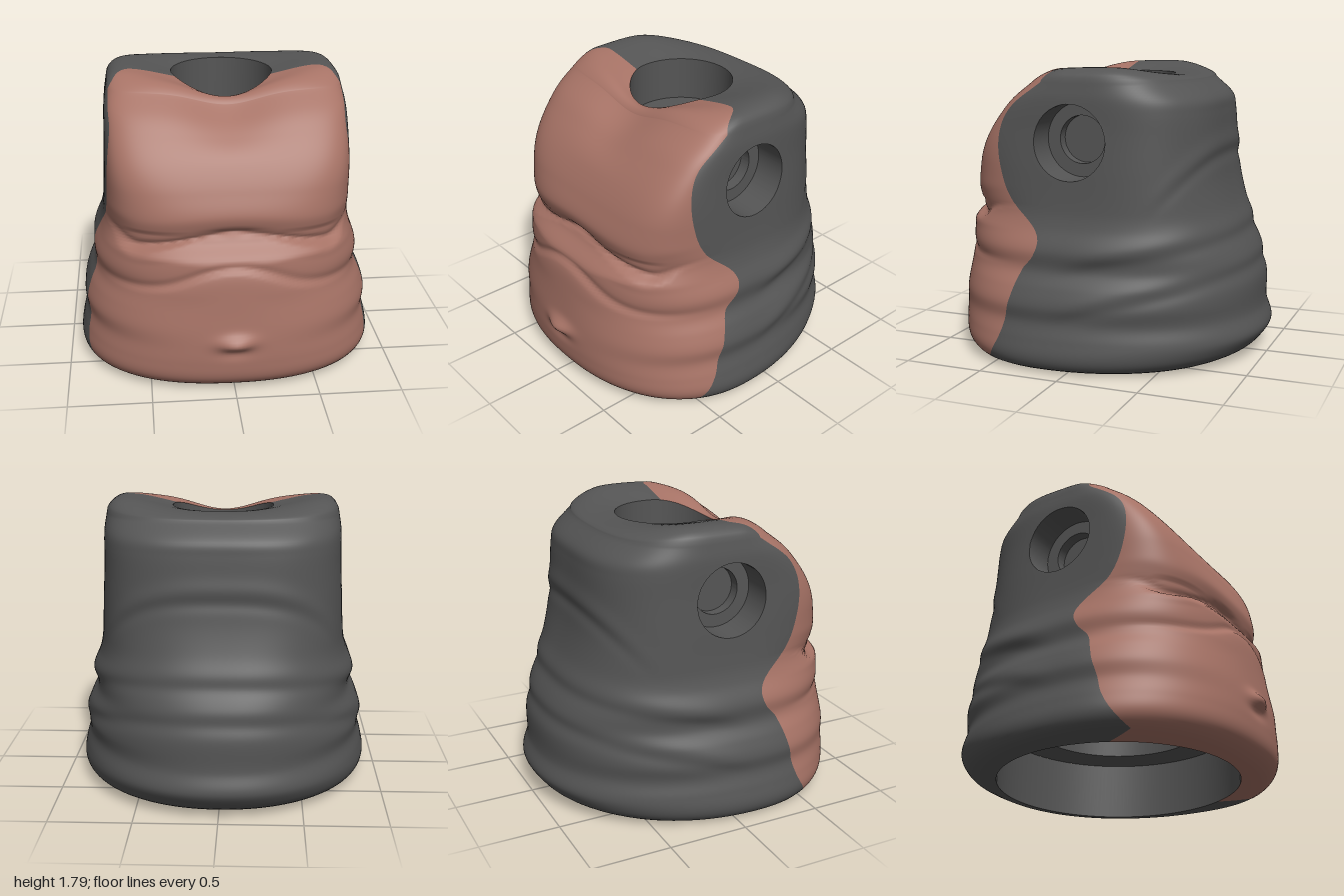
import * as THREE from 'three';
import { toCreasedNormals } from 'three/addons/utils/BufferGeometryUtils.js';

// Smooth interpolation through [y, value] pairs
const curve = (pts) => (y) => {
  const n = pts.length - 1;
  if (y <= pts[0][0]) return pts[0][1];
  if (y >= pts[n][0]) return pts[n][1];
  const i = pts.findIndex((p) => p[0] > y) - 1;
  const slope = (k) => {
    const a = pts[Math.max(k - 1, 0)], b = pts[Math.min(k + 1, n)];
    return (b[1] - a[1]) / (b[0] - a[0]);
  };
  const h = pts[i + 1][0] - pts[i][0], t = (y - pts[i][0]) / h, t2 = t * t, t3 = t2 * t;
  return (2 * t3 - 3 * t2 + 1) * pts[i][1] + (t3 - 2 * t2 + t) * h * slope(i)
    + (3 * t2 - 2 * t3) * pts[i + 1][1] + (t3 - t2) * h * slope(i + 1);
};
const bell = (d, w) => Math.exp(-((d / w) ** 2));
const { lerp, smoothstep } = THREE.MathUtils;

// Profiles by height: half width, front, back, section centre, squareness (front, back), colour seam
const halfWidth = curve([[0, 0.84], [0.03, 0.9], [0.1, 0.93], [0.2, 0.915], [0.3, 0.89], [0.4, 0.9], [0.5, 0.87], [0.6, 0.825],
  [0.72, 0.83], [0.85, 0.785], [0.95, 0.765], [1.2, 0.75], [1.4, 0.74], [1.6, 0.735], [1.7, 0.72]]);
const front = curve([[0, 0.82], [0.04, 0.89], [0.1, 0.935], [0.2, 0.95], [0.3, 0.95], [0.4, 0.94], [0.5, 0.92], [0.6, 0.895],
  [0.635, 0.865], [0.68, 0.87], [0.77, 0.86], [0.83, 0.845], [0.87, 0.755], [0.9, 0.765], [0.95, 0.78], [1.05, 0.79],
  [1.2, 0.745], [1.3, 0.7], [1.4, 0.64], [1.5, 0.565], [1.6, 0.475], [1.7, 0.345]]);
const back = curve([[0, -0.8], [0.05, -0.9], [0.1, -0.955], [0.18, -1], [0.3, -0.965], [0.5, -0.955], [0.7, -0.89], [0.9, -0.81],
  [1.1, -0.75], [1.3, -0.72], [1.52, -0.7], [1.6, -0.68], [1.7, -0.57]]);
const centre = curve([[0, 0.15], [0.5, 0.12], [1, 0], [1.5, 0], [1.7, -0.08]]);
const frontSquareness = curve([[0, 2.3], [0.4, 2.35], [0.7, 2.7], [1.1, 4], [1.4, 6], [1.7, 6]]);
const backSquareness = curve([[0, 2.1], [0.4, 2.2], [0.7, 2.4], [1.1, 2.8], [1.5, 3], [1.7, 2.6]]);
const seam = curve([[0, 0.55], [0.2, 0.43], [0.4, 0.37], [0.6, 0.3], [0.68, 0.23], [0.77, 0.2], [0.85, 0.24], [1, 0.4],
  [1.2, 0.48], [1.4, 0.49], [1.55, 0.42], [1.7, 0.22]]);

const M = 104, K = 44, N = 2 * M;         // columns per half, columns in the front panel, all columns
const WALL = 115, CAP = 18, BASE = 7;     // rows
const Y0 = 0.012, Y1 = 1.7;
const NECK = { z: -0.045, r: 0.315, y: 1.73 };
const ARM = { z: 0.025, y: 1.355, r: 0.225 };
const BOTTOM_R = 0.75;

function seamAngle(y) {
  const c = centre(y), z = seam(y) - c, n = frontSquareness(y);
  return Math.atan2(halfWidth(y) * (1 - (z / (front(y) - c)) ** n) ** (1 / n), z);
}
const columnAngle = (k, s) => (k <= K ? (s * k) / K : s + ((Math.PI - s) * (k - K)) / (M - K));

// Point on the body wall at height y and angle a from the front
function wallPoint(y, a) {
  const c = centre(y), W = halfWidth(y), s = Math.sin(a), co = Math.cos(a);
  const n = co > 0 ? frontSquareness(y) : backSquareness(y);
  const ray = (d) => ((Math.abs(s) / W) ** n + (Math.abs(co) / d) ** n) ** (-1 / n);
  let r;
  if (co > 0) {
    // folds arch upward at the middle of the belly, where they flatten out
    const x = ray(front(y) - c) * s;
    const arch = 0.16 * bell(x, 0.36) * bell(y - 0.76, 0.25) + 0.09 * smoothstep(x, 0.55, 0.76) * bell(y - 0.95, 0.13);
    const limit = 0.87 - 0.1 * smoothstep(y, 0.8, 0.95) + 0.3 * smoothstep(y, 0.96, 1.1);
    const depth = front(y - arch);
    r = ray((y > 0.8 ? Math.min(depth, limit) : depth) - c);
    r += 0.05 * bell(x, 0.1) * bell(y - 0.34, 0.045) - 0.012 * bell(x, 0.1) * bell(y - 0.27, 0.035);
    r -= 0.02 * bell(x, 0.14) * bell(y - 0.975, 0.022);
  } else r = ray(c - back(y));
  // soft cloth creases around the sides and back: height, slope, start
  const z = c + r * co;
  for (const [h, k, start] of [[0.6, 0.2, -0.15], [0.34, 0.25, -0.15], [0.45, 1.1, 0.4]])
    r += 0.01 * smoothstep(-z, start, start + 0.35) * (bell(y - h - 0.08 + k * z, 0.07) - bell(y - h + k * z, 0.05));
  return [r * s, y, c + r * co];
}

function bodyPoint(row, k) {
  if (row < BASE) {                       // underside, from the opening to the outer edge
    const t = row / BASE, a = columnAngle(k, seamAngle(Y0)), p = wallPoint(Y0, a);
    return [lerp(BOTTOM_R * Math.sin(a), p[0], t), Y0 * t * t, lerp(BOTTOM_R * Math.cos(a), p[2], t)];
  }
  let p;
  if (row <= BASE + WALL) {
    const y = lerp(Y0, Y1, (row - BASE) / WALL);
    p = wallPoint(y, columnAngle(k, seamAngle(y)));
  } else {                                // shoulders, closing on the neck circle
    const t = ((row - BASE - WALL) / CAP) ** 1.5;
    const q = wallPoint(Y1, columnAngle(k, lerp(seamAngle(Y1), 1.36, smoothstep(t, 0, 0.35))));
    const a = columnAngle(k, 1.2);
    const x = lerp(q[0], NECK.r * Math.sin(a), t), z = lerp(q[2], NECK.z + NECK.r * Math.cos(a), t);
    const power = 0.5 + 0.3 * smoothstep(z, 0.1, 0.34);
    const rise = 0.08 * Math.sin(Math.PI * t ** power) * (0.4 + 0.6 * Math.sin(a) ** 2)
      * (1 - 0.5 * smoothstep(-z, 0.2, 0.55)) * (1 - 0.5 * smoothstep(z, 0.12, 0.36));
    p = [x, lerp(Y1, NECK.y, t) + rise, z];
  }
  p[1] -= 0.08 * bell(p[0], 0.26) * smoothstep(p[1], 1.35, 1.7) * smoothstep(p[2], 0, 0.25);
  return p;
}

function createModel() {
  const group = new THREE.Group();
  const coat = new THREE.MeshStandardMaterial({ color: 0x555555 });
  const skin = new THREE.MeshStandardMaterial({ color: 0xa77366 });
  const lining = new THREE.MeshStandardMaterial({ color: 0x555555, side: THREE.DoubleSide });
  const add = (name, geometry, material) => {
    const mesh = new THREE.Mesh(geometry, material);
    mesh.name = name;
    group.add(mesh);
    return mesh;
  };

  // Body grid; points inside an arm circle move out onto its edge
  const rows = BASE + WALL + CAP, pos = [], inside = [];
  for (let i = 0; i <= rows; i++) {
    for (let j = 0; j < N; j++) {
      const p = bodyPoint(i, j <= M ? j : N - j);
      const dy = p[1] - ARM.y, dz = p[2] - ARM.z, d = Math.hypot(dy, dz), hit = d < ARM.r && p[0] > 0.5;
      if (hit) {
        p[1] = ARM.y + (dy / (d || 1)) * ARM.r;
        p[2] = ARM.z + (dz / (d || 1)) * ARM.r;
      }
      inside.push(hit);
      pos.push(j <= M ? p[0] : -p[0], p[1], p[2]);
    }
  }
  const skinFaces = [], coatFaces = [], edges = new Map();
  for (let i = 0; i < rows; i++) {
    for (let j = 0; j < N; j++) {
      const a = i * N + j, b = i * N + ((j + 1) % N), c = b + N, d = a + N;
      for (const f of [[a, b, c], [a, c, d]]) {
        if (f.every((v) => inside[v])) continue;
        (j < K || j >= N - K ? skinFaces : coatFaces).push(...f);
        f.forEach((v, n) => {
          const w = f[(n + 1) % 3];
          if (!edges.delete(w + '_' + v)) edges.set(v + '_' + w, [v, w]);
        });
      }
    }
  }
  const whole = new THREE.BufferGeometry();
  whole.setAttribute('position', new THREE.Float32BufferAttribute(pos, 3));
  whole.setIndex([...skinFaces, ...coatFaces]);
  whole.computeVertexNormals();
  const part = (faces) => {
    const g = new THREE.BufferGeometry();
    g.setAttribute('position', whole.attributes.position);
    g.setAttribute('normal', whole.attributes.normal);
    g.setIndex(faces);
    return g;
  };
  add('frontPanel', part(skinFaces), skin);
  add('coat', part(coatFaces), coat);

  // Socket walls run from the open edges of the body straight inward
  const walls = { neck: [], bottom: [], leftArm: [], rightArm: [] };
  const depth = { neck: [1, 1.46], bottom: [1, 0.36], leftArm: [0, 0.54], rightArm: [0, -0.54] };
  const point = (v) => pos.slice(v * 3, v * 3 + 3);
  for (const [v, w] of edges.values()) {
    const p = point(v), q = point(w);
    const key = p[1] < 0.5 ? 'bottom' : Math.abs(p[0]) < 0.5 ? 'neck' : p[0] > 0 ? 'leftArm' : 'rightArm';
    const [axis, value] = depth[key], p2 = [...p], q2 = [...q];
    p2[axis] = q2[axis] = value;
    walls[key].push(...q, ...p, ...p2, ...q, ...p2, ...q2);
  }
  for (const [key, list] of Object.entries(walls)) {
    const g = new THREE.BufferGeometry();
    g.setAttribute('position', new THREE.Float32BufferAttribute(list, 3));
    add(key + 'SocketWall', toCreasedNormals(g, 0.6), lining);
  }

  // Stepped socket floors: [radius, height] along the socket axis
  const floor = (name, profile) => add(name,
    toCreasedNormals(new THREE.LatheGeometry(profile.map((p) => new THREE.Vector2(...p)), 128), 0.6), lining);
  floor('neckSocketFloor', [[NECK.r, 1.46], [0.15, 1.46], [0.15, 1.39], [0, 1.39]]).position.z = NECK.z;
  floor('bottomSocketFloor', [[BOTTOM_R, 0.36], [0.53, 0.36], [0.53, 0.58], [0, 0.58]]);
  for (const s of [1, -1]) {
    const arm = floor(s > 0 ? 'leftArmSocketFloor' : 'rightArmSocketFloor',
      [[ARM.r, 0.54], [0.145, 0.54], [0.145, 0.47], [0, 0.47]]);
    arm.rotation.z = (-s * Math.PI) / 2;
    arm.position.set(0, ARM.y, ARM.z);
  }
  return group;
}

export { createModel };
